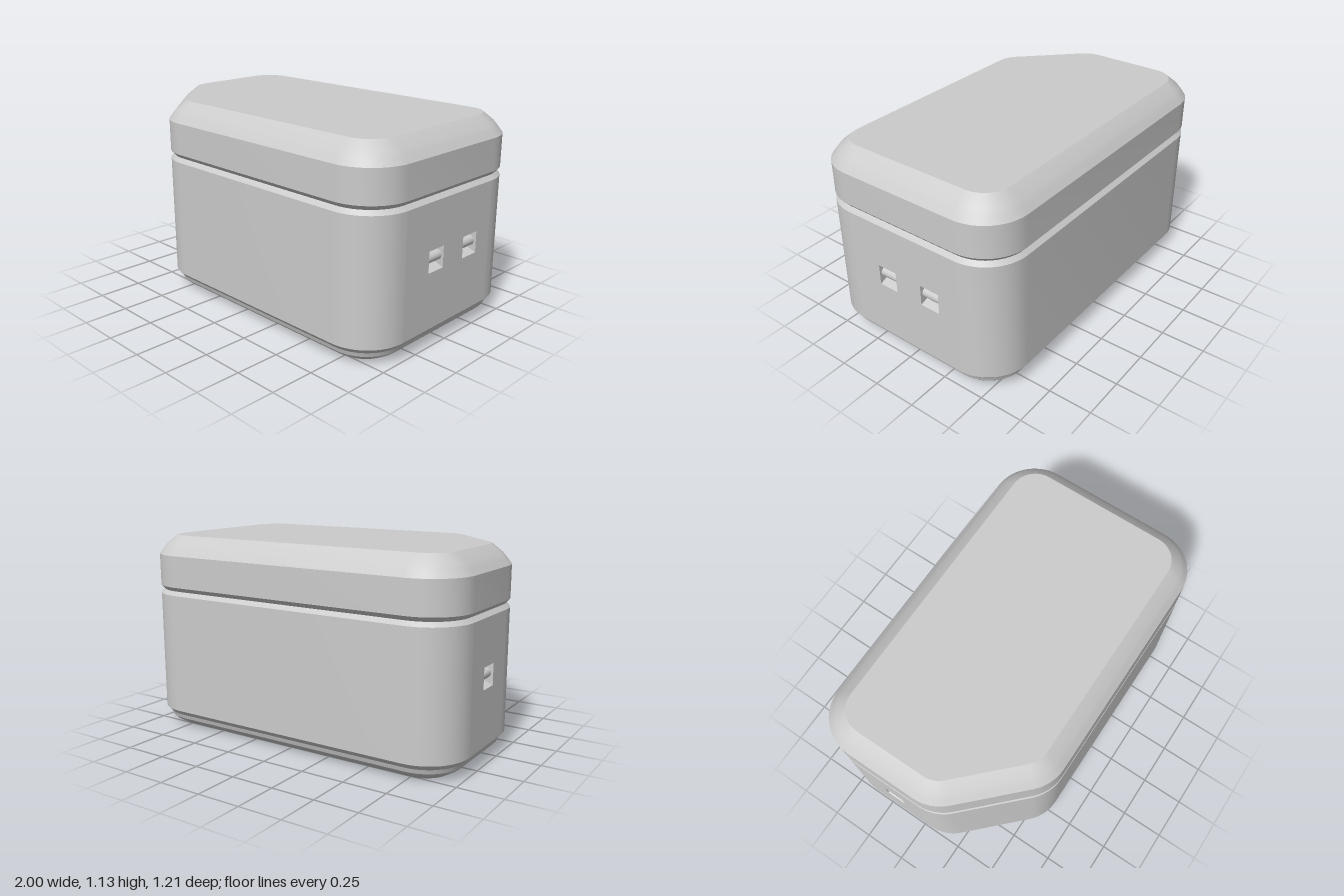
import * as THREE from 'three';
import { toCreasedNormals } from 'three/addons/utils/BufferGeometryUtils.js';

const material = new THREE.MeshStandardMaterial({ color: 0xcccccc });
const liner = new THREE.MeshStandardMaterial({ color: 0xcccccc, side: THREE.DoubleSide });

const RADIUS = 0.25;
// Corner arcs of the plan outline: centre x, centre z, start and end angle in degrees
const CORNERS = [
  [0.75, 0.357, 0, 90], [-0.45, 0.357, 90, 135], [-0.75, 0.057, 135, 180],
  [-0.75, -0.357, 180, 270], [0.75, -0.357, 270, 360],
];
const WALL_LOW = 0.105, WALL_HIGH = 0.797;
const SLOT = 0.12, SLOT_Y = 0.48;

// Plan outline moved inwards by inset, at height y
function ring(y, inset) {
  const points = [], r = RADIUS - inset;
  for (const [cx, cz, from, to] of CORNERS) {
    const steps = (to - from) / 7.5;
    for (let i = 0; i <= steps; i++) {
      const a = THREE.MathUtils.degToRad(from + i * 7.5);
      points.push([cx + r * Math.cos(a), y, cz + r * Math.sin(a)]);
    }
  }
  return points;
}

// Closed solid through a profile of [y, inset]; skip(a, c) leaves a quad open
function loft(profile, skip = () => false) {
  const rings = profile.map(([y, inset]) => ring(y, inset));
  const n = rings[0].length, pos = [];
  const tri = (...corners) => corners.forEach((p) => pos.push(...p));
  const last = rings.length - 1;
  for (let j = 0; j < n; j++) {
    const k = (j + 1) % n;
    for (let i = 0; i < last; i++) {
      const a = rings[i][j], b = rings[i][k], c = rings[i + 1][k], d = rings[i + 1][j];
      if (skip(a, c)) continue;
      tri(a, d, c);
      tri(a, c, b);
    }
    tri([0, profile[0][0], 0], rings[0][j], rings[0][k]);
    tri([0, profile[last][0], 0], rings[last][k], rings[last][j]);
  }
  const geometry = new THREE.BufferGeometry();
  geometry.setAttribute('position', new THREE.Float32BufferAttribute(pos, 3));
  return toCreasedNormals(geometry, 0.25);
}

function addMesh(parent, name, geometry, mat = material) {
  const mesh = new THREE.Mesh(geometry, mat);
  mesh.name = name;
  parent.add(mesh);
  return mesh;
}

function rectangle(target, u0, u1, v0, v1) {
  target.moveTo(u0, v0).lineTo(u1, v0).lineTo(u1, v1).lineTo(u0, v1).closePath();
  return target;
}

// Flat end wall with slot openings, each holding a tapered pocket and a bar
function addEnd(parent, side, zMin, zMax, slots) {
  const end = new THREE.Group();
  end.name = side > 0 ? 'leftEnd' : 'rightEnd';
  end.rotation.y = side * Math.PI / 2;
  const us = [-side * zMin, -side * zMax];
  const shape = rectangle(new THREE.Shape(), Math.min(...us), Math.max(...us), WALL_LOW, WALL_HIGH);
  const h = SLOT / 2, depth = 0.09;
  for (const z of slots) {
    const u = -side * z;
    shape.holes.push(rectangle(new THREE.Path(), u - h, u + h, SLOT_Y - h, SLOT_Y + h));

    // Pocket: a box without its front face, narrowing inwards in height
    const pocket = new THREE.BoxGeometry(SLOT, SLOT, depth);
    const p = pocket.attributes.position;
    for (let i = 0; i < p.count; i++) if (p.getZ(i) < 0) p.setY(i, p.getY(i) * 0.4);
    const index = Array.from(pocket.index.array);
    index.splice(24, 6);
    pocket.setIndex(index);
    pocket.computeVertexNormals();
    addMesh(end, 'slotPocket', pocket, liner).position.set(u, SLOT_Y, 1 - depth / 2);

    const bar = new THREE.CylinderGeometry(0.028, 0.028, SLOT, 24).rotateZ(Math.PI / 2);
    addMesh(end, 'slotBar', bar).position.set(u, SLOT_Y + 0.003, 0.96);
  }
  addMesh(end, 'endWall', new THREE.ShapeGeometry(shape).translate(0, 0, 1));
  parent.add(end);
}

export function createModel() {
  const model = new THREE.Group();
  model.name = 'box';

  // Body with a stepped foot; both flat ends are left open for the slotted walls
  const body = new THREE.Group();
  body.name = 'body';
  model.add(body);
  const isEnd = (a, c) => Math.abs(a[0] - c[0]) < 1e-6 && Math.abs(a[2] - c[2]) > 0.2
    && Math.abs(a[1] - WALL_LOW) < 1e-6;
  addMesh(body, 'bodyShell', loft([
    [0, 0.105], [0.022, 0.07], [0.035, 0.05], [0.05, 0.036], [0.075, 0.028],
    [WALL_LOW, 0], [WALL_HIGH, 0], [0.82, 0.022],
  ], isEnd));
  addEnd(body, 1, -0.357, 0.357, [0.11, -0.18]);
  addEnd(body, -1, -0.357, 0.057, [-0.15]);

  // Lid with bevelled rims
  addMesh(model, 'lid', loft([
    [0.82, 0.022], [0.845, 0], [1.027, 0], [1.06, 0.025], [1.085, 0.045], [1.135, 0.107],
  ]));
  return model;
}
